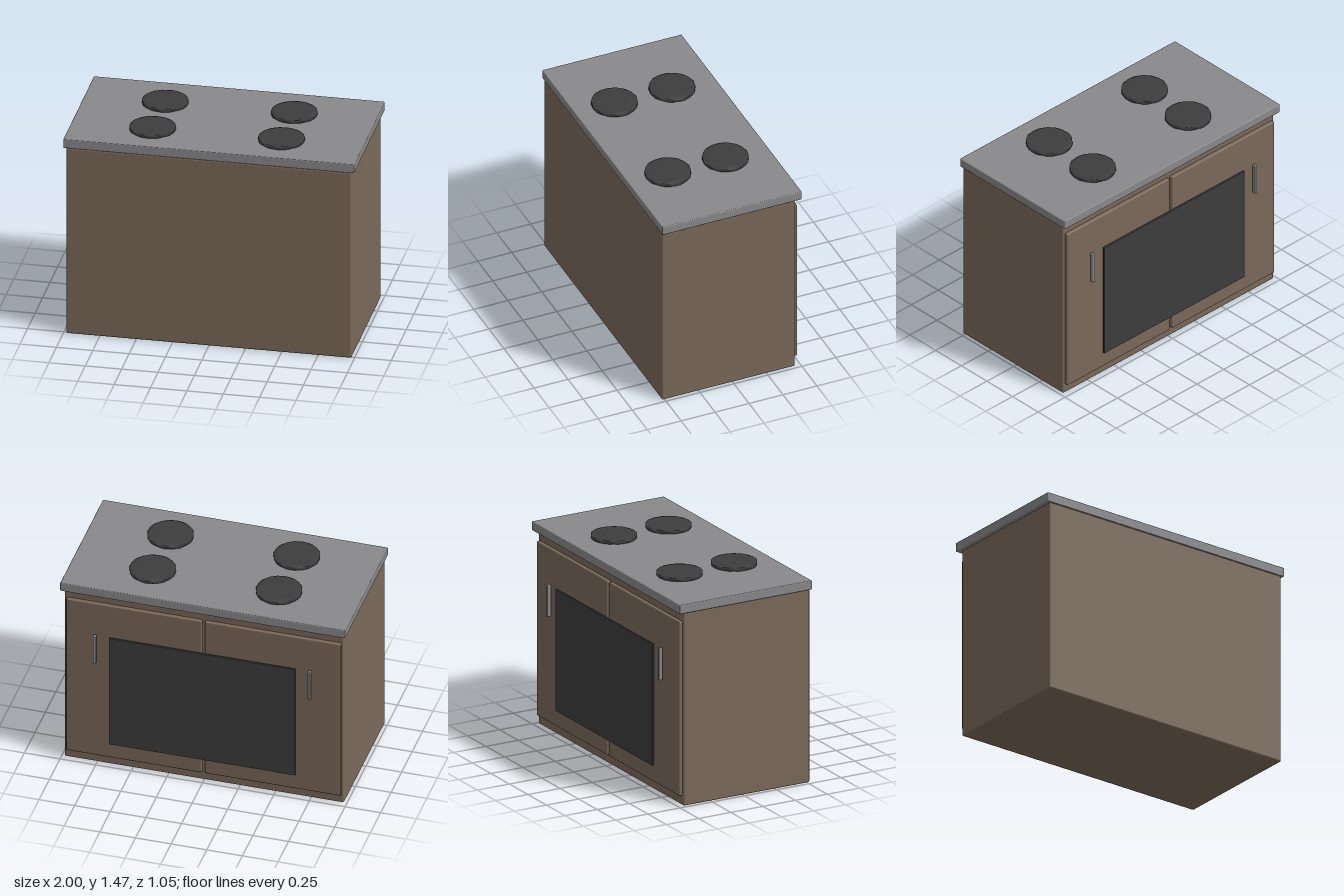
import * as THREE from 'three';
import { RoundedBoxGeometry } from 'three/addons/geometries/RoundedBoxGeometry.js';
import { mergeVertices } from 'three/addons/utils/BufferGeometryUtils.js';

const material = (name, color) => {
  const m = new THREE.MeshStandardMaterial({ color });
  m.name = name;
  return m;
};

export function createModel() {
  const brown = material('brown cabinet', 0x7a6959);
  const grey = material('grey metal', 0x89898b);
  const dark = material('dark glass', 0x3d3d3d);

  const group = new THREE.Group();
  group.name = 'stove';

  // Softly bevelled box given by its minimum and maximum on each axis
  const box = (name, mat, [x0, x1], [y0, y1], [z0, z1], bevel) => {
    const geometry = new RoundedBoxGeometry(x1 - x0, y1 - y0, z1 - z0, 2, bevel);
    const mesh = new THREE.Mesh(geometry, mat);
    mesh.name = name;
    mesh.position.set((x0 + x1) / 2, (y0 + y1) / 2, (z0 + z1) / 2);
    group.add(mesh);
  };

  // Cabinet and worktop
  box('cabinet', brown, [-0.98, 0.98], [0, 1.378], [-0.46, 0.52], 0.012);
  box('worktop', grey, [-1, 1], [1.378, 1.443], [-0.5, 0.526], 0.006);

  // Pair of doors with their handles
  box('leftDoor', brown, [0.011, 0.963], [0.07, 1.31], [-0.485, -0.45], 0.008);
  box('rightDoor', brown, [-0.963, -0.011], [0.07, 1.31], [-0.485, -0.45], 0.008);
  box('leftHandle', grey, [0.744, 0.764], [0.84, 1.07], [-0.526, -0.497], 0.006);
  box('rightHandle', grey, [-0.764, -0.744], [0.84, 1.07], [-0.526, -0.497], 0.006);

  // Oven window across both doors
  box('ovenWindow', dark, [-0.655, 0.652], [0.2, 1.068], [-0.518, -0.503], 0.003);

  // Burner: thin 18-sided disc, with shared rim normals for soft shading
  const rim = [];
  for (let i = 0; i < 18; i++) {
    const a = (i / 18) * Math.PI * 2;
    rim.push(new THREE.Vector2(Math.sin(a) * 0.157, Math.cos(a) * 0.157));
  }
  let disc = new THREE.ExtrudeGeometry(new THREE.Shape(rim), { depth: 0.024, bevelEnabled: false });
  disc.rotateX(-Math.PI / 2);
  disc.deleteAttribute('normal');
  disc.deleteAttribute('uv');
  disc.clearGroups();
  disc = mergeVertices(disc);
  disc.computeVertexNormals();

  for (const x of [-0.444, 0.442]) {
    for (const z of [-0.184, 0.24]) {
      const burner = new THREE.Mesh(disc, dark);
      burner.name = 'burner';
      burner.position.set(x, 1.442, z);
      group.add(burner);
    }
  }
  return group;
}
